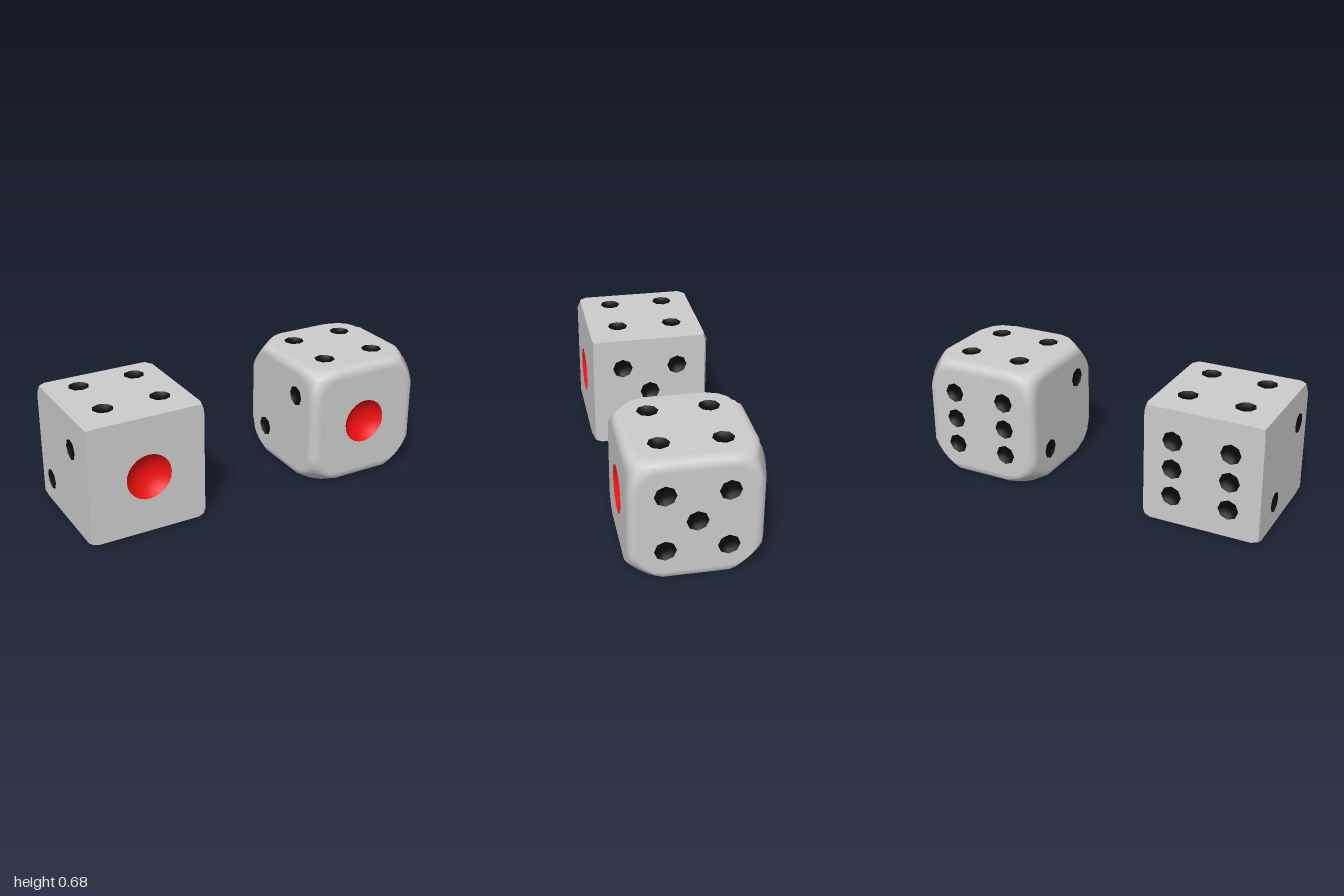
import * as THREE from 'three';

const H = 0.34;        // half the size of a die
const EDGE = 0.057;    // edge rounding radius
const D = 0.157;       // pip offset from the face centre
const STEPS = 12;      // samples along each side of a face

const grey = new THREE.MeshStandardMaterial({ color: 0xcccccc });
const black = new THREE.MeshStandardMaterial({ color: 0x0a0a0a });
const red = new THREE.MeshStandardMaterial({ color: 0xf01010 });

// Pip layouts and the rotation that turns +z towards each face
const corners = [[D, D], [-D, D], [D, -D], [-D, -D]];
const diagonal = [[D, D], [-D, -D]];
const FACES = [
  { name: 'front', rot: [0, 0, 0], pips: [[0, 0]], one: true },
  { name: 'left', rot: [0, Math.PI / 2, 0], pips: [...corners, [0, 0]] },
  { name: 'back', rot: [0, Math.PI, 0], pips: [...corners, [D, 0], [-D, 0]] },
  { name: 'right', rot: [0, -Math.PI / 2, 0], pips: diagonal },
  { name: 'top', rot: [-Math.PI / 2, 0, 0], pips: corners },
  { name: 'bottom', rot: [Math.PI / 2, 0, 0], pips: [...diagonal, [0, 0]] },
];

// Counter-clockwise points around a unit square
function squarePerimeter() {
  const pts = [];
  for (let side = 0; side < 4; side++) {
    for (let i = 0; i < STEPS; i++) {
      const p = new THREE.Vector2(-1 + (2 * i) / STEPS, -1);
      for (let q = 0; q < side; q++) p.set(-p.y, p.x);
      pts.push(p);
    }
  }
  return pts;
}

// Direction away from an inner box of the given half size
function boxNormal(p, inner) {
  const c = p.clone().clampScalar(-inner, inner);
  return p.clone().sub(c).normalize();
}

// Rounded box, with its corners also trimmed by a ball
function toSurface(p, ball) {
  const inner = H - EDGE;
  const q = p.clone().clampScalar(-inner, inner).addScaledVector(boxNormal(p, inner), EDGE);
  return q.clampLength(0, ball);
}

// Rounded rim of one face, from its flat outline out to the mitre lines
function rimGeometry(outline, square, rings, ball, soft) {
  const pos = [], nor = [], index = [];
  const n = square.length;
  const axis = new THREE.Vector3(0, 0, 1);
  for (let j = 0; j <= rings; j++) {
    const t = j / rings;
    for (let k = 0; k < n; k++) {
      const flat = outline[k].clone().lerp(square[k].clone().multiplyScalar(H), t);
      const q = toSurface(new THREE.Vector3(flat.x, flat.y, H), ball);
      const mitre = new THREE.Vector3(square[k].x * H, square[k].y * H, H);
      const normal = axis.clone();
      if (soft) normal.lerp(boxNormal(mitre, 0.18), t).normalize();
      pos.push(q.x, q.y, q.z);
      nor.push(normal.x, normal.y, normal.z);
      if (j < rings) {
        const a = j * n + k, b = j * n + ((k + 1) % n);
        index.push(a, a + n, b + n, a, b + n, b);
      }
    }
  }
  const g = new THREE.BufferGeometry();
  g.setAttribute('position', new THREE.Float32BufferAttribute(pos, 3));
  g.setAttribute('normal', new THREE.Float32BufferAttribute(nor, 3));
  g.setIndex(index);
  return g;
}

// Hollow spherical dimple opening towards +z
function dimpleGeometry(radius, depth, sides) {
  const ball = (radius * radius + depth * depth) / (2 * depth);
  const reach = Math.asin(radius / ball);
  const profile = [];
  for (let i = 0; i <= 6; i++) {
    const a = reach * (1 - i / 6);
    profile.push(new THREE.Vector2(ball * Math.sin(a), ball - depth - ball * Math.cos(a)));
  }
  return new THREE.LatheGeometry(profile, sides).rotateX(Math.PI / 2);
}

function createDie(name, { ball, rings, soft }) {
  const die = new THREE.Group();
  die.name = name;
  const square = squarePerimeter();
  const flatRadius = Math.sqrt(ball * ball - H * H);
  const outline = square.map((s) =>
    s.clone().multiplyScalar(Math.min(H - EDGE, flatRadius / s.length())));
  const rim = rimGeometry(outline, square, rings, ball, soft);

  for (const { name: side, rot, pips, one } of FACES) {
    const face = new THREE.Group();
    face.name = side + 'Face';
    face.rotation.set(...rot);
    const radius = one ? 0.125 : 0.056;
    const sides = one ? 24 : 8;
    const dimple = dimpleGeometry(radius, one ? 0.06 : 0.027, sides);

    // Flat plate pierced by the pips
    const shape = new THREE.Shape(outline);
    for (const [x, y] of pips) {
      const hole = [];
      for (let i = 0; i < sides; i++) {
        const a = (-i / sides) * Math.PI * 2;
        hole.push(new THREE.Vector2(x + radius * Math.cos(a), y + radius * Math.sin(a)));
      }
      shape.holes.push(new THREE.Path(hole));
      const pip = new THREE.Mesh(dimple, one ? red : black);
      pip.name = 'pip';
      pip.position.set(x, y, H);
      face.add(pip);
    }
    const plate = new THREE.Mesh(new THREE.ShapeGeometry(shape), grey);
    plate.name = 'facePlate';
    plate.position.z = H;
    const rimMesh = new THREE.Mesh(rim, grey);
    rimMesh.name = 'faceRim';
    face.add(plate, rimMesh);
    die.add(face);
  }
  return die;
}

export function createModel() {
  const model = new THREE.Group();
  model.name = 'pairOfDice';
  const crisp = createDie('crispDie', { ball: 10, rings: 1, soft: false });
  crisp.position.set(-0.66, H, 0);
  const round = createDie('roundedDie', { ball: 0.49, rings: 2, soft: true });
  round.position.set(0.66, H, 0);
  model.add(crisp, round);
  return model;
}
